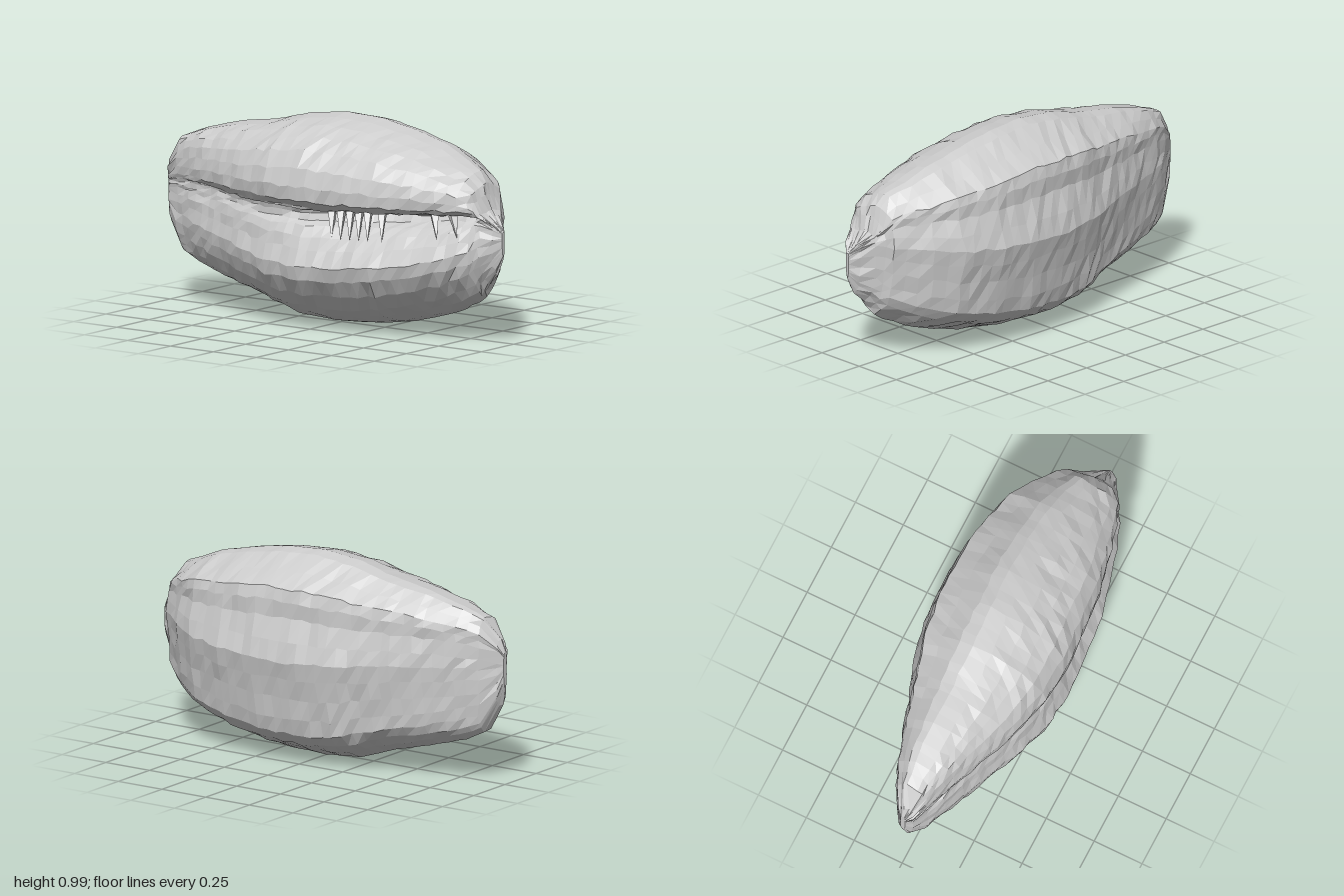
import * as THREE from 'three';

// Stations along the shell: x, bottom, top, back z, front z, slit depth (0 closed .. 1 open), slit height
const stations = [
  [-1.0, 0.48, 0.64, -0.01, 0.015, 0, 0.575],
  [-0.975, 0.38, 0.70, -0.03, 0.045, 0.15, 0.58],
  [-0.9, 0.245, 0.80, -0.08, 0.085, 0.35, 0.585],
  [-0.8, 0.20, 0.84, -0.13, 0.13, 0.45, 0.59],
  [-0.6, 0.14, 0.89, -0.20, 0.21, 0.45, 0.58],
  [-0.4, 0.09, 0.92, -0.265, 0.29, 0.4, 0.57],
  [-0.2, 0.02, 0.97, -0.335, 0.35, 0.35, 0.56],
  [0.0, 0.005, 0.995, -0.37, 0.37, 0.45, 0.555],
  [0.2, 0.015, 0.985, -0.375, 0.355, 0.75, 0.56],
  [0.4, 0.045, 0.95, -0.355, 0.34, 1, 0.57],
  [0.6, 0.10, 0.90, -0.30, 0.29, 1, 0.585],
  [0.72, 0.14, 0.85, -0.225, 0.255, 1, 0.6],
  [0.82, 0.19, 0.81, -0.14, 0.22, 0.9, 0.61],
  [0.865, 0.22, 0.76, -0.10, 0.19, 0.8, 0.61],
  [0.885, 0.25, 0.71, -0.06, 0.175, 0.7, 0.61],
  [0.91, 0.29, 0.64, -0.03, 0.16, 0.5, 0.605],
  [0.96, 0.34, 0.59, 0.03, 0.125, 0.3, 0.575],
  [1.0, 0.42, 0.545, 0.07, 0.09, 0, 0.54],
];

// Cross-section (z, y): under the belly, lower lip, slit, upper lip, over the crown, down the back
const lowerLip = [[-0.08, 0], [0.12, 0.015], [0.35, 0.05], [0.55, 0.095], [0.8, 0.17], [0.95, 0.25], [1, 0.32]];
const slit = [[0.88, 0.4], [0.76, 0.46], [0.6, 0.505], [0.42, 0.53], [0.36, 0.56], [0.44, 0.595], [0.68, 0.585]];
const rest = [[0.85, 0.595], [0.96, 0.63], [0.98, 0.7], [0.92, 0.78], [0.78, 0.86], [0.58, 0.915], [0.36, 0.955], [0.12, 0.985], [-0.1, 1], [-0.28, 0.985],
  [-0.55, 0.92], [-0.82, 0.86], [-0.86, 0.8], [-0.86, 0.72], [-0.94, 0.61], [-1, 0.52], [-0.95, 0.43], [-0.89, 0.33],
  [-0.85, 0.23], [-0.8, 0.15], [-0.65, 0.095], [-0.4, 0.05]];
const SLIT_V = 0.56;

function section(open) {
  const mid = slit.map(([z, y]) => [0.95 + (z - 0.95) * open, y]);
  return [...lowerLip, ...mid, ...rest];
}

// Seeded generator for the chipped surface
function seeded(seed) {
  return () => {
    seed = (seed * 16807) % 2147483647;
    return seed / 2147483647 - 0.5;
  };
}

// Station values interpolated at any x
function stationAt(x) {
  let k = 0;
  while (k < stations.length - 2 && stations[k + 1][0] < x) k++;
  const a = stations[k], b = stations[k + 1];
  const t = (x - a[0]) / (b[0] - a[0]);
  return a.map((v, i) => v + (b[i] - v) * t);
}

// Place a section point on a station; sections grow fuller towards the -x tip
function place([x, lo, hi, back, front, , slitY], z, v) {
  const full = Math.min(Math.max(-x, 0), 1);
  const w = Math.sign(z) * Math.pow(Math.abs(z), 1 - 0.55 * full);
  const y = v < SLIT_V ? lo + (v / SLIT_V) * (slitY - lo) : slitY + ((v - SLIT_V) / (1 - SLIT_V)) * (hi - slitY);
  return new THREE.Vector3(x, y, (front + back) / 2 + (w * (front - back)) / 2);
}

function shellGeometry() {
  const rand = seeded(71);
  const xs = [];
  for (let k = 0; k < stations.length - 1; k++) {
    const [a, b] = [stations[k][0], stations[k + 1][0]];
    const n = Math.max(1, Math.round((b - a) / 0.05));
    for (let s = 0; s < n; s++) xs.push(a + ((b - a) * s) / n);
  }
  xs.push(1);

  const pos = [], index = [];
  const count = section(1).length;
  xs.forEach((x, j) => {
    const station = stationAt(x);
    const rough = j > 0 && j < xs.length - 1 ? 0.014 : 0;
    for (const [z, v] of section(station[5])) {
      const p = place(station, z, v);
      const rise = v > 0.02 && v < 0.98 ? rough : 0;
      pos.push(p.x + rand() * rough, p.y + rand() * rise, p.z + rand() * rough * 0.8);
    }
  });
  for (let j = 0; j < xs.length - 1; j++) {
    for (let i = 0; i < count; i++) {
      const n = (i + 1) % count;
      const a = j * count + i, b = a + count, c = (j + 1) * count + n, d = j * count + n;
      index.push(a, b, c, a, c, d);
    }
  }
  // Close both tips
  const last = (xs.length - 1) * count;
  const left = pos.length / 3;
  pos.push(-1, 0.565, 0, 1, 0.49, 0.08);
  for (let i = 0; i < count; i++) {
    const n = (i + 1) % count;
    index.push(left, i, n, left + 1, last + n, last + i);
  }
  const g = new THREE.BufferGeometry();
  g.setAttribute('position', new THREE.Float32BufferAttribute(pos, 3));
  g.setIndex(index);
  g.computeVertexNormals();
  return g;
}

export function createModel() {
  const group = new THREE.Group();
  group.name = 'cowrieShell';
  const material = new THREE.MeshStandardMaterial({ color: 0xcccccc, flatShading: true, side: THREE.DoubleSide });

  const shell = new THREE.Mesh(shellGeometry(), material);
  shell.name = 'shellBody';
  group.add(shell);

  // Small teeth running from inside the slit onto the lower lip
  const teeth = new THREE.Group();
  teeth.name = 'slitTeeth';
  const up = new THREE.Vector3(0, 1, 0);
  for (const x of [0.1, 0.15, 0.2, 0.25, 0.3, 0.38, 0.66, 0.76]) {
    const station = stationAt(x);
    const root = place(station, 0.58, 0.58);
    const tip = place(station, 0.82, 0.45).setX(x + 0.06);
    const dir = tip.clone().sub(root);
    const tooth = new THREE.Mesh(new THREE.ConeGeometry(0.026, dir.length(), 4), material);
    tooth.position.copy(root).add(tip).multiplyScalar(0.5);
    tooth.quaternion.setFromUnitVectors(up, dir.normalize());
    tooth.name = 'tooth';
    teeth.add(tooth);
  }
  group.add(teeth);
  return group;
}
